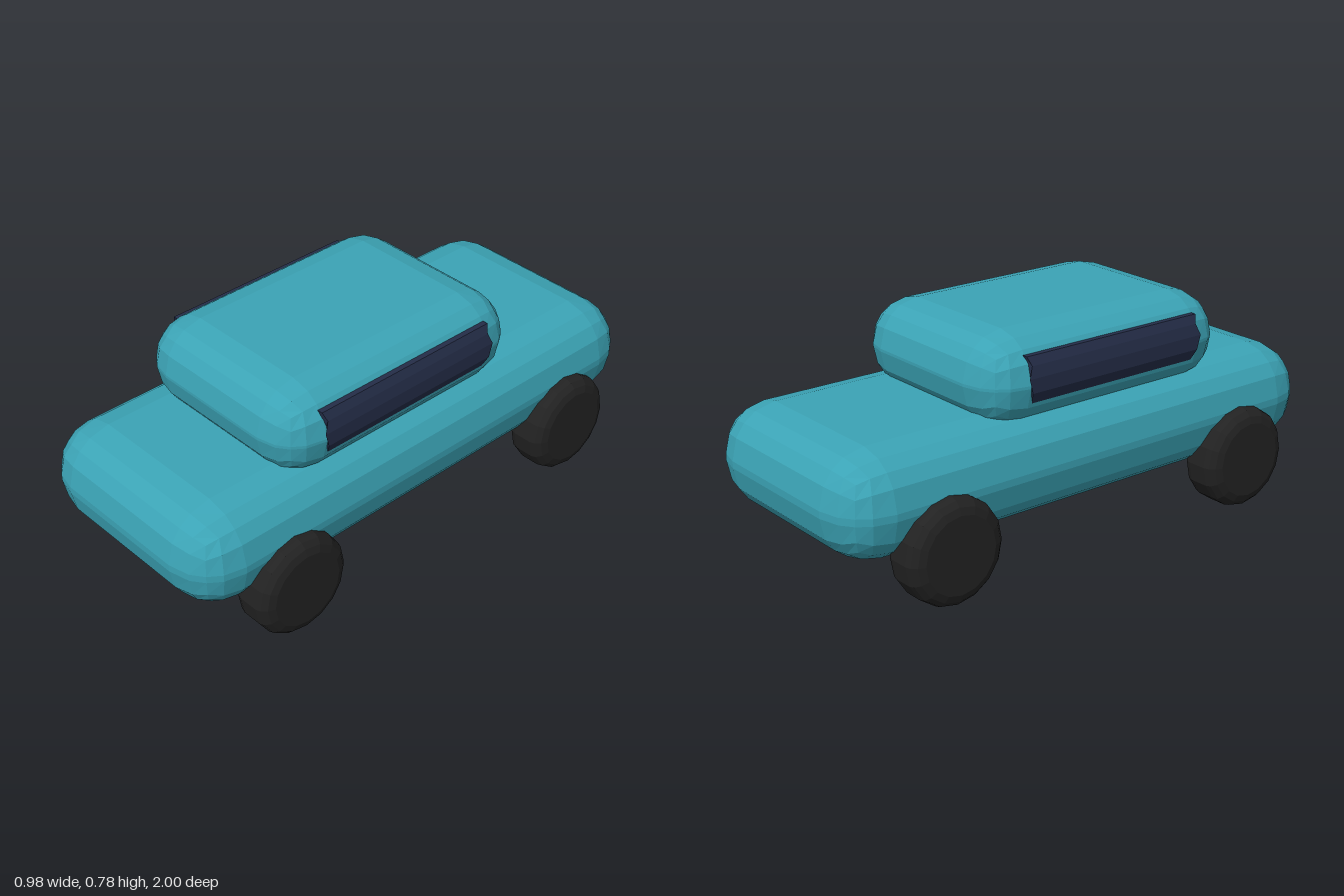
import * as THREE from 'three';
import { RoundedBoxGeometry } from 'three/addons/geometries/RoundedBoxGeometry.js';

const makeMaterial = (name, color) =>
  new THREE.MeshStandardMaterial({ name, color, flatShading: true });

export function createModel() {
  const paint = makeMaterial('teal paint', 0x3ba3b5);
  const glass = makeMaterial('dark blue glass', 0x242d48);
  const rubber = makeMaterial('black rubber', 0x222222);
  const car = new THREE.Group();
  car.name = 'car';

  const add = (name, geometry, material, x, y, z) => {
    const mesh = new THREE.Mesh(geometry, material);
    mesh.name = name;
    mesh.position.set(x, y, z);
    car.add(mesh);
    return mesh;
  };

  // Soft-cornered body and cabin
  add('body', new RoundedBoxGeometry(0.86, 0.365, 2, 2, 0.17), paint, 0, 0.3425, 0);
  add('cabin', new RoundedBoxGeometry(0.77, 0.32, 1.04, 2, 0.155), paint, 0, 0.625, 0.09);

  // Wheel: bevelled 16-sided disc turned onto the x axis
  const wheelProfile = [
    [0, -0.08], [0.135, -0.08], [0.16, -0.071], [0.177, -0.054], [0.1825, -0.035],
    [0.1825, 0.035], [0.177, 0.054], [0.16, 0.071], [0.135, 0.08], [0, 0.08],
  ].map(([r, h]) => new THREE.Vector2(r, h));
  const wheelGeometry = new THREE.LatheGeometry(wheelProfile, 16).rotateZ(Math.PI / 2);

  // Side window: curved cross-section (x, y) run along z, with slightly notched ends
  const section = [
    [0.34, 0.565], [0.372, 0.565], [0.392, 0.605], [0.393, 0.655],
    [0.384, 0.695], [0.37, 0.725], [0.34, 0.725],
  ];
  const endShift = { 565: -0.014, 605: -0.003, 655: 0.011, 695: -0.006, 725: 0.005 };

  const makeWindow = (side) => {
    const shape = new THREE.Shape(section.map(([x, y]) => new THREE.Vector2(side * x, y)));
    const geometry = new THREE.ExtrudeGeometry(shape, { depth: 0.73, bevelEnabled: false, steps: 1 });
    const p = geometry.attributes.position;
    for (let i = 0; i < p.count; i++) {
      const shift = endShift[Math.round(p.getY(i) * 1000)] ?? 0;
      const z = p.getZ(i) - 0.365;
      p.setZ(i, z + Math.sign(z) * shift);
    }
    geometry.computeVertexNormals();
    return geometry;
  };

  for (const [label, side] of [['left', 1], ['right', -1]]) {
    add(`${label}Window`, makeWindow(side), glass, 0, 0, 0.09);
    add(`${label}FrontWheel`, wheelGeometry, rubber, side * 0.41, 0.1825, 0.635);
    add(`${label}RearWheel`, wheelGeometry, rubber, side * 0.41, 0.1825, -0.635);
  }
  return car;
}
